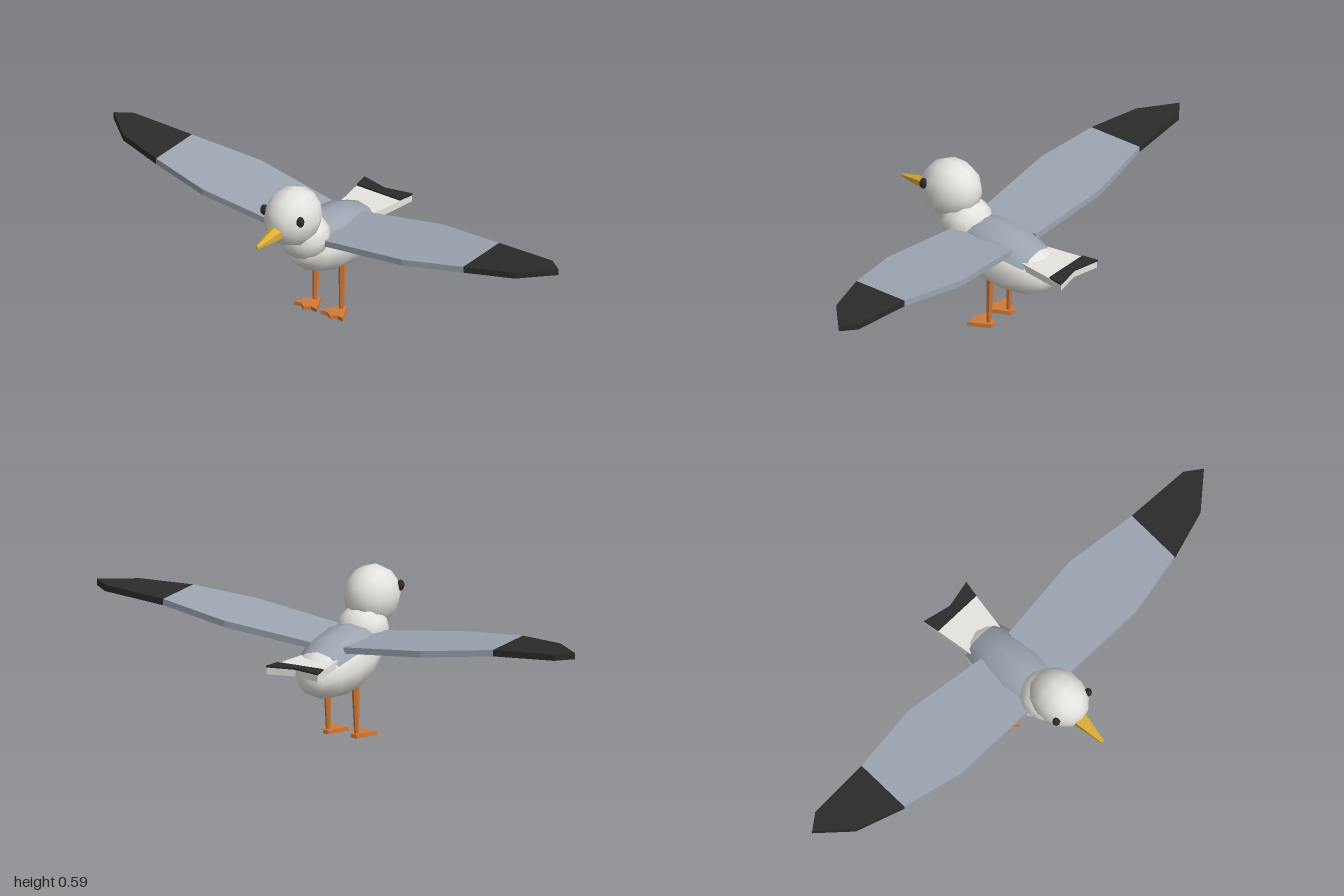
import * as THREE from 'three';

const mat = (name, color, flatShading = false, side = THREE.FrontSide) =>
  Object.assign(new THREE.MeshStandardMaterial({ color, flatShading, side }), { name });

export function createModel() {
  const white = mat('white feathers', 0xe6e4df);
  const grey = mat('grey feathers', 0x9ca5b1, false, THREE.DoubleSide);
  const black = mat('black', 0x2b2b2b);
  const yellow = mat('yellow beak', 0xdcae36, true);
  const orange = mat('orange legs', 0xd27a38, true);

  const model = new THREE.Group();
  model.name = 'seabird';

  function add(name, geometry, material, position = [0, 0, 0], parent = model) {
    const mesh = new THREE.Mesh(geometry, material);
    mesh.name = name;
    mesh.position.set(...position);
    parent.add(mesh);
    return mesh;
  }

  // Ellipsoid whose poles lie along z
  function ellipsoid(rx, ry, rz, w = 12, h = 7, ...arc) {
    return new THREE.SphereGeometry(1, w, h, ...arc).rotateX(Math.PI / 2).scale(rx, ry, rz);
  }

  // Horizontal plate from an outline of [x, z] points, its top at y = 0
  function plate(points, depth) {
    const shape = new THREE.Shape(points.map(([x, z]) => new THREE.Vector2(x, z)));
    return new THREE.ExtrudeGeometry(shape, { depth, bevelEnabled: false }).rotateX(Math.PI / 2);
  }

  // Tapered bar between two points
  function taper(from, to, r0, r1, sides) {
    const a = new THREE.Vector3(...from), b = new THREE.Vector3(...to);
    const dir = b.clone().sub(a);
    const g = new THREE.CylinderGeometry(r1, r0, dir.length(), sides);
    g.applyQuaternion(new THREE.Quaternion().setFromUnitVectors(
      new THREE.Vector3(0, 1, 0), dir.normalize()));
    const mid = a.add(b).multiplyScalar(0.5);
    return g.translate(mid.x, mid.y, mid.z);
  }

  // Body with the grey mantle laid over its back
  const torso = new THREE.Group();
  torso.name = 'torso';
  torso.position.set(0, 0.287, -0.058);
  torso.rotation.x = -0.14;
  model.add(torso);
  add('body', ellipsoid(0.125, 0.118, 0.241), white, [0, 0, 0], torso);
  add('mantle', ellipsoid(0.127, 0.12, 0.244, 4, 4,
    Math.PI * 7 / 6, Math.PI * 2 / 3, Math.PI / 7, Math.PI * 4 / 7), grey, [0, 0, 0], torso);

  // Neck, head and beak
  add('neck', ellipsoid(0.097, 0.09, 0.096), white, [0, 0.367, 0.114]);
  add('head', ellipsoid(0.101, 0.113, 0.118), white, [0, 0.478, 0.183]);
  add('beak', taper([0, 0.4535, 0.285], [0, 0.445, 0.409], 0.031, 0.007, 6), yellow);

  // Tail with a dark band along its notched end
  add('tail', plate([[-0.075, -0.2], [0.075, -0.2], [0.107, -0.407],
    [0, -0.383], [-0.107, -0.407]], 0.027), white, [0, 0.333, 0]);
  add('tailBand', plate([[-0.097, -0.346], [0.097, -0.346], [0.108, -0.409],
    [0, -0.385], [-0.108, -0.409]], 0.007), black, [0, 0.339, 0]);

  // Wing surface rises outward, flatter beyond the tip joint
  const joint = 0.69;
  const lift = (x) => 0.373 + 0.12 * (Math.min(x, joint) - 0.1) + 0.058 * Math.max(x - joint, 0);
  function wingPlate(points, side) {
    const g = plate(points.map(([x, z]) => [x * side, z]), 0.024);
    const p = g.attributes.position;
    for (let i = 0; i < p.count; i++) p.setY(i, p.getY(i) + lift(Math.abs(p.getX(i))));
    g.computeVertexNormals();
    return g;
  }

  for (const [side, label] of [[1, 'left'], [-1, 'right']]) {
    // Wing and dark wing tip
    add(label + 'Wing', wingPlate([[0.07, 0.113], [0.45, 0.125], [joint, 0.08],
      [joint, -0.142], [0.41, -0.183], [0.07, -0.152]], side), grey);
    add(label + 'WingTip', wingPlate([[joint, 0.08], [0.88, 0.022], [1, -0.083],
      [0.94, -0.128], [joint, -0.142]], side), black);

    // Eye
    add(label + 'Eye', new THREE.SphereGeometry(1, 8, 6).scale(0.015, 0.021, 0.015),
      black, [0.081 * side, 0.507, 0.25]);

    // Leg and webbed foot
    const x = 0.059 * side;
    add(label + 'Leg', taper([x, 0.014, -0.035], [x, 0.2, -0.043], 0.009, 0.015, 6), orange);
    add(label + 'Foot', plate([[-0.012, -0.055], [0.012, -0.055], [0.05, 0.026],
      [0.022, 0.02], [0, 0.038], [-0.022, 0.02], [-0.05, 0.026]], 0.015), orange, [x, 0.015, 0]);
  }
  return model;
}
